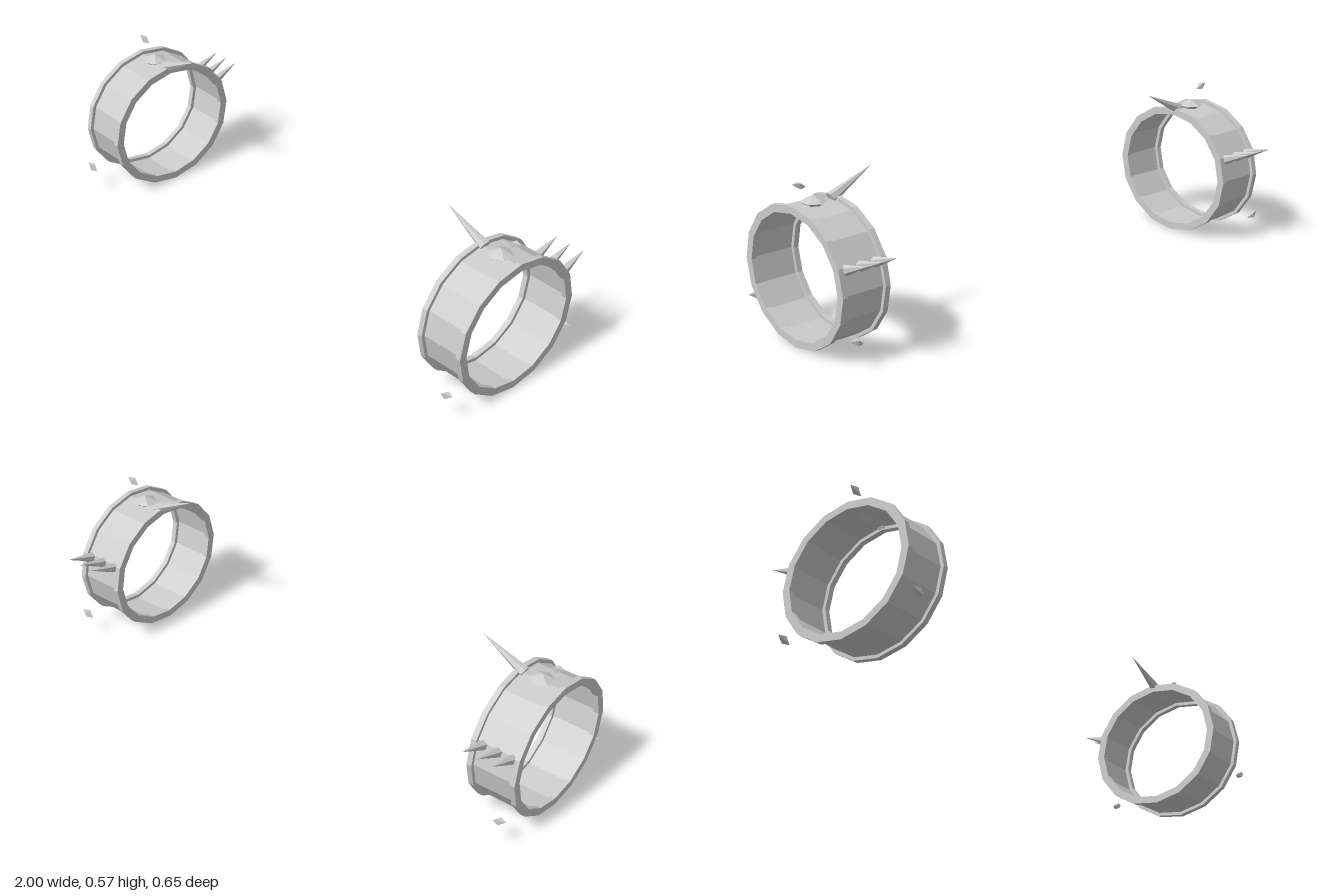
import * as THREE from 'three';

const MID_Z = 0.0325, MID_Y = 0.249;
const material = new THREE.MeshStandardMaterial({ color: 0xcccccc, flatShading: true });

function addMesh(group, name, geometry) {
  const mesh = new THREE.Mesh(geometry, material);
  mesh.name = name;
  group.add(mesh);
  return mesh;
}

// Faceted cone running from a base centre to its tip
function addSpike(group, name, base, tip, radius, sides) {
  const from = new THREE.Vector3(...base);
  const axis = new THREE.Vector3(...tip).sub(from);
  const length = axis.length();
  const geometry = new THREE.ConeGeometry(radius, length, sides).translate(0, length / 2, 0);
  const spike = addMesh(group, name, geometry);
  spike.quaternion.setFromUnitVectors(new THREE.Vector3(0, 1, 0), axis.normalize());
  spike.position.copy(from);
}

// Oval 16-sided band with a square rim at each edge
function bandGeometry() {
  const w = 0.096, e = 0.076; // half width, inner edge of the rims
  const profile = [
    [0.89, -w], [1, -w], [1, -e], [0.95, -e], [0.95, e], [1, e], [1, w],
    [0.89, w], [0.89, e], [0.94, e], [0.94, -e], [0.89, -e], [0.89, -w],
  ].map(([r, h]) => new THREE.Vector2(r, h));
  return new THREE.LatheGeometry(profile, 16)
    .rotateZ(-Math.PI / 2)
    .scale(1, 0.248, 0.27);
}

// Small square bipyramid along x, its outer tip raised and its inner tip lowered
function pinGeometry(side) {
  const geometry = new THREE.OctahedronGeometry(1).rotateX(Math.PI / 4);
  const p = geometry.attributes.position;
  for (let i = 0; i < p.count; i++) {
    const x = p.getX(i);
    p.setXYZ(i, x * 0.027, p.getY(i) * 0.0145 + x * side * 0.009, p.getZ(i) * 0.0145);
  }
  geometry.computeVertexNormals();
  return geometry;
}

function createBracelet(side) {
  const bracelet = new THREE.Group();
  bracelet.name = side > 0 ? 'leftBracelet' : 'rightBracelet';

  addMesh(bracelet, 'band', bandGeometry()).position.set(side * 0.903, MID_Y, MID_Z);

  // Low faceted stud on top
  const stud = new THREE.CylinderGeometry(0, 0.047, 0.023, 6).translate(0, 0.0115, 0);
  addMesh(bracelet, 'topStud', stud).position.set(side * 0.905, 0.492, MID_Z);
  const studBase = new THREE.CylinderGeometry(0.047, 0, 0.029, 6).translate(0, -0.0145, 0);
  addMesh(bracelet, 'topStudBase', studBase).position.set(side * 0.905, 0.492, MID_Z);

  // Long spike pointing towards the other bracelet
  addSpike(bracelet, 'innerSpike', [side * 0.838, 0.488, MID_Z], [side * 0.664, 0.57, MID_Z], 0.021, 6);

  // Row of three spikes at the back
  for (const x of [0.847, 0.906, 0.965]) {
    addSpike(bracelet, 'backSpike', [side * x, 0.332, -0.21], [side * x, 0.375, -0.325], 0.019, 6);
  }

  // Detached pins around the outer edge
  for (const [y, z] of [[0.557, MID_Z], [0.097, 0.317], [0.097, -0.255]]) {
    addMesh(bracelet, 'pin', pinGeometry(side)).position.set(side * 0.962, y, z);
  }
  return bracelet;
}

export function createModel() {
  const model = new THREE.Group();
  model.name = 'spikedBracelets';
  for (const side of [1, -1]) model.add(createBracelet(side));
  return model;
}
